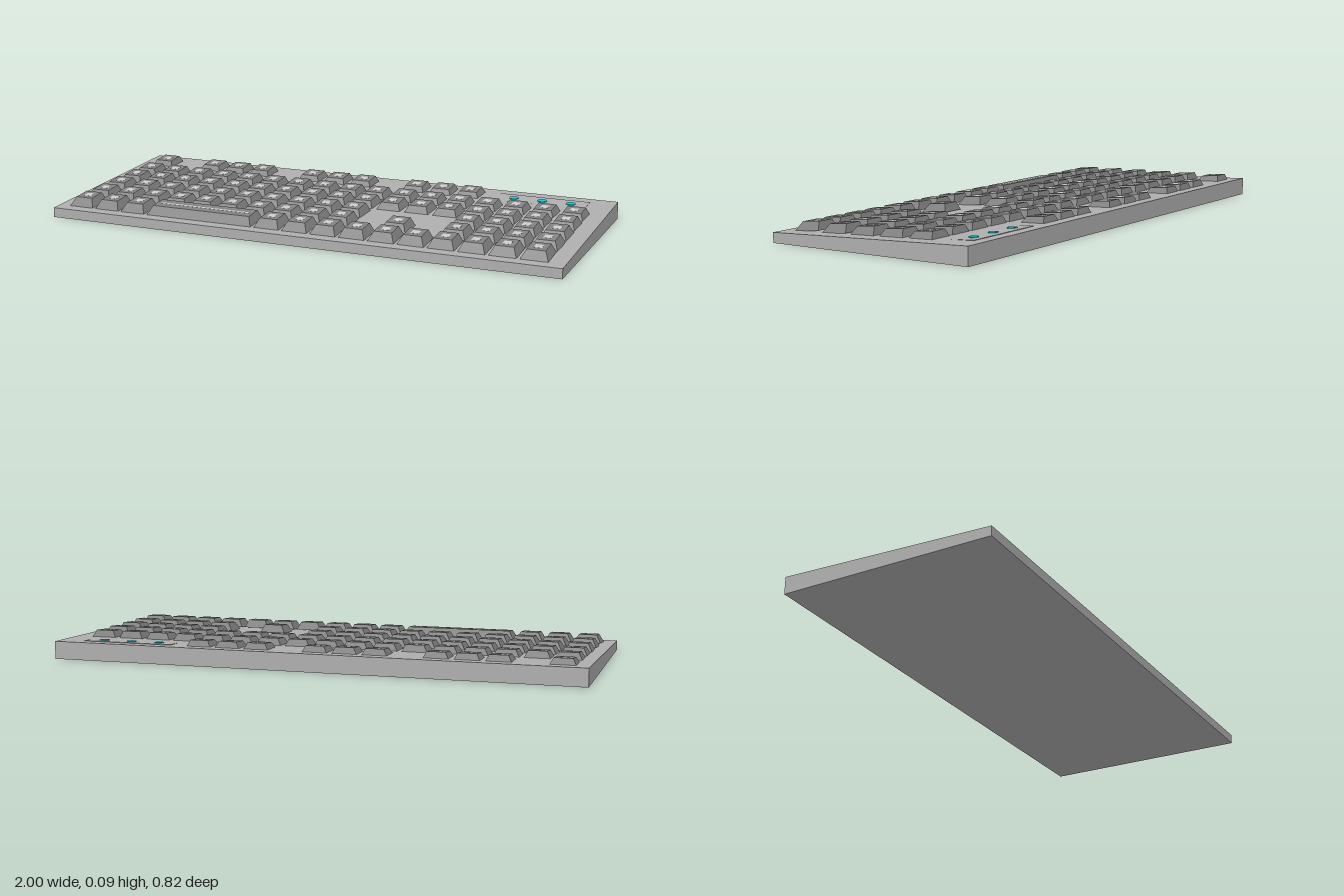
import * as THREE from 'three';

const FRONT = 0.41, PITCH = 0.112, FIRST_X = -0.904;
const deckY = z => 0.037 + (FRONT - z) / (2 * FRONT) * 0.03; // sloping top of the case
const CAP_H = 0.031, CAP_SHIFT = -0.0096, TILT = 0.085;

// Rectangle loop: half width, half depth, height, z shift
const loop = (w, d, y, s) => [[-w, y, s + d], [w, y, s + d], [w, y, s - d], [-w, y, s - d]];

// Tapered cap with a flat top set back from the base
function keycapGeometry(width) {
  const base = loop(width / 2, 0.0525, 0, 0);
  const top = loop(width / 2 - 0.016, 0.0365, CAP_H, CAP_SHIFT);
  const pos = [];
  const quad = (a, b, c, d) => pos.push(...a, ...b, ...c, ...a, ...c, ...d);
  for (let i = 0; i < 4; i++) {
    const j = (i + 1) % 4;
    quad(base[i], base[j], top[j], top[i]);
  }
  quad(...top);
  quad(...base.slice().reverse());
  const g = new THREE.BufferGeometry();
  g.setAttribute('position', new THREE.Float32BufferAttribute(pos, 3));
  g.computeVertexNormals();
  return g;
}

export function createModel() {
  const model = new THREE.Group();
  const material = color => new THREE.MeshStandardMaterial({ color, flatShading: true });
  const caseGrey = material(0xaeaeae);
  const keyGrey = material(0x828282);
  const markGrey = material(0xc4c4c4);
  const teal = material(0x00cfd2);
  const add = (name, geo, mat, x, y, z, parent = model) => {
    const m = new THREE.Mesh(geo, mat);
    m.name = name;
    m.position.set(x, y, z);
    parent.add(m);
    return m;
  };

  // Wedge-shaped case
  const caseGeo = new THREE.BoxGeometry(2, 1, 2 * FRONT);
  const p = caseGeo.attributes.position;
  for (let i = 0; i < p.count; i++) p.setY(i, p.getY(i) > 0 ? deckY(p.getZ(i)) : 0);
  caseGeo.computeVertexNormals();
  add('case', caseGeo, caseGrey, 0, 0, 0);

  // A key is a dark cap with a small pale inlay on its top
  const addKey = (name, cap, inlay, x, z, parent) => {
    const key = new THREE.Group();
    key.name = name;
    key.position.set(x, 0.0479 - 0.0176 * z, z);
    key.rotation.x = TILT;
    parent.add(key);
    add('keycap', cap, keyGrey, 0, 0, 0, key);
    add('inlay', inlay, markGrey, 0, CAP_H, CAP_SHIFT, key);
  };

  // Key rows from back to front, listing the occupied columns
  const range = (a, b) => Array.from({ length: b - a + 1 }, (_, i) => a + i);
  const rows = [
    [-0.311, [0, 2, 3, 4, 6, 7, 8, 10, 11, 12]],
    [-0.17, range(0, 16)],
    [-0.049, range(0, 16)],
    [0.072, [...range(0, 9), ...range(13, 16)]],
    [0.192, [...range(0, 9), 11, ...range(13, 16)]],
    [0.313, [...range(0, 2), ...range(7, 16)]],
  ];
  const cap = keycapGeometry(0.1);
  const inlay = new THREE.BoxGeometry(0.03, 0.001, 0.03);
  rows.forEach(([z, columns], r) => {
    const row = new THREE.Group();
    row.name = `keyRow${r + 1}`;
    model.add(row);
    for (const c of columns) addKey('key', cap, inlay, FIRST_X + c * PITCH, z, row);
  });

  // Space bar spans four columns of the front row
  addKey('spaceBar', keycapGeometry(0.434), new THREE.BoxGeometry(0.374, 0.001, 0.01),
    FIRST_X + 4.5 * PITCH, 0.313, model);

  // Indicator plate, rising slightly towards the back, with three lamps
  const slope = Math.atan(0.03 / (2 * FRONT));
  add('indicatorPlate', new THREE.BoxGeometry(0.35, 0.006, 0.09), caseGrey,
    0.727, deckY(-0.318) - 0.002, -0.318).rotation.x = slope + 0.02;
  const lampGeo = new THREE.CylinderGeometry(0.018, 0.018, 0.006, 16);
  for (let i = 0; i < 3; i++) {
    add('indicatorLamp', lampGeo, teal, 0.615 + i * PITCH, deckY(-0.318) + 0.0005, -0.318).rotation.x = slope;
  }
  return model;
}
